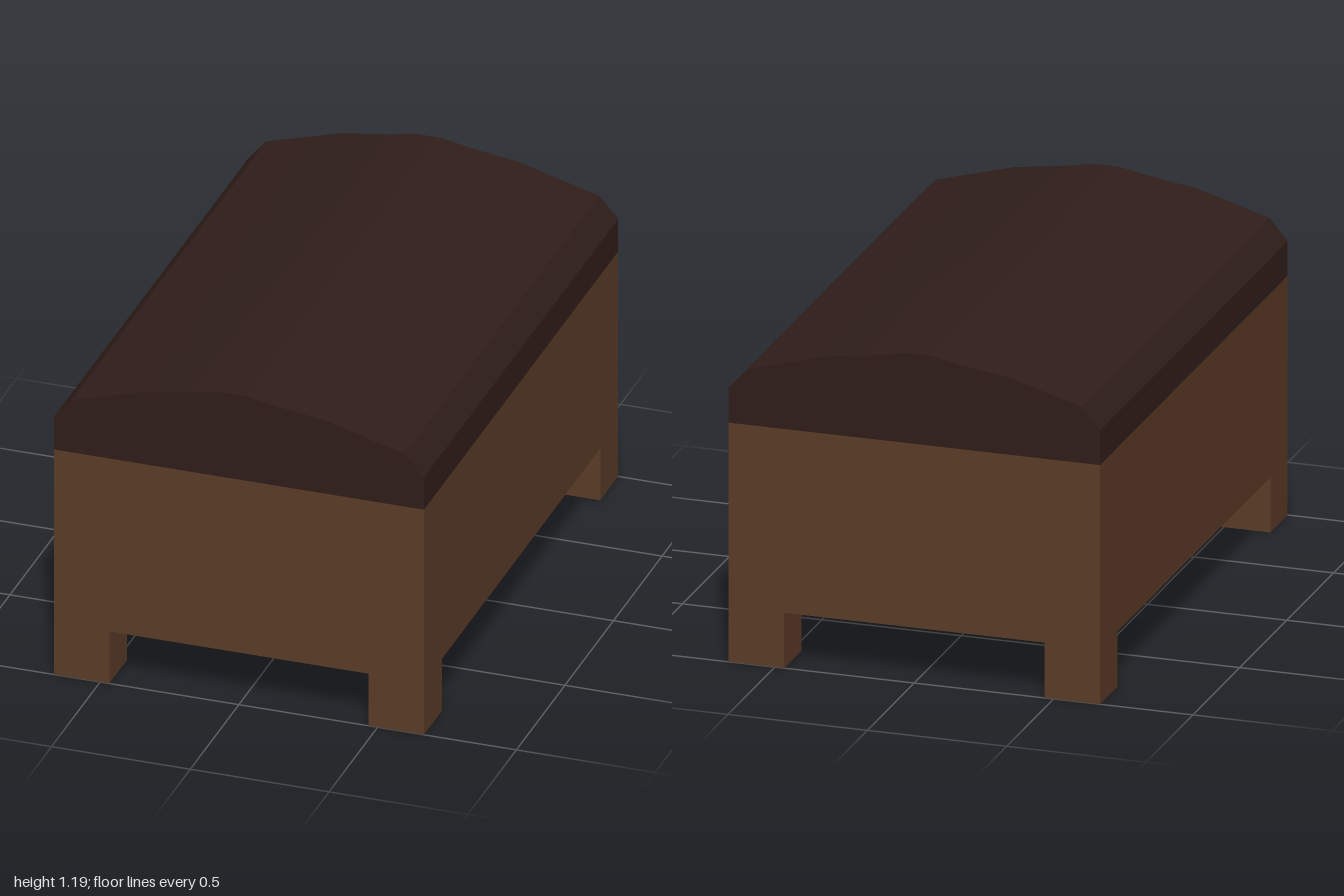
import * as THREE from 'three';
import { toCreasedNormals } from 'three/addons/utils/BufferGeometryUtils.js';

const HALF_W = 0.667, HALF_D = 1;
const LEG_H = 0.2, LEG_W = 0.2, LEG_D = 0.185, BODY_TOP = 0.865;

export function createModel() {
  const group = new THREE.Group();
  group.name = 'chest';
  const wood = new THREE.MeshStandardMaterial({ color: 0x5a3a26 });
  const darkWood = new THREE.MeshStandardMaterial({ color: 0x2f1d19 });

  const add = (name, geometry, material, x = 0, y = 0, z = 0) => {
    const mesh = new THREE.Mesh(geometry, material);
    mesh.name = name;
    mesh.position.set(x, y, z);
    group.add(mesh);
  };

  // Main box
  const bodyH = BODY_TOP - LEG_H;
  add('body', new THREE.BoxGeometry(HALF_W * 2, bodyH, HALF_D * 2), wood, 0, LEG_H + bodyH / 2, 0);

  // Four corner legs, flush with the outer walls
  const leg = new THREE.BoxGeometry(LEG_W, LEG_H, LEG_D);
  for (const [sx, side] of [[1, 'Left'], [-1, 'Right']]) {
    for (const [sz, end] of [[1, 'front'], [-1, 'back']]) {
      add(`${end}${side}Leg`, leg, wood, sx * (HALF_W - LEG_W / 2), LEG_H / 2, sz * (HALF_D - LEG_D / 2));
    }
  }

  // Arched lid, its profile swept along the depth
  const profile = [
    [-HALF_W, BODY_TOP], [HALF_W, BODY_TOP], [HALF_W, 0.99], [0.597, 1.067], [0.315, 1.145],
    [0.135, 1.17], [0.03, 1.19], [-0.06, 1.19], [-0.165, 1.17], [-0.335, 1.145],
    [-0.602, 1.067], [-HALF_W, 0.99],
  ];
  const shape = new THREE.Shape(profile.map(([x, y]) => new THREE.Vector2(x, y)));
  const lid = new THREE.ExtrudeGeometry(shape, { depth: HALF_D * 2, bevelEnabled: false });
  lid.translate(0, 0, -HALF_D);
  add('lid', toCreasedNormals(lid, 0.4), darkWood);

  return group;
}
